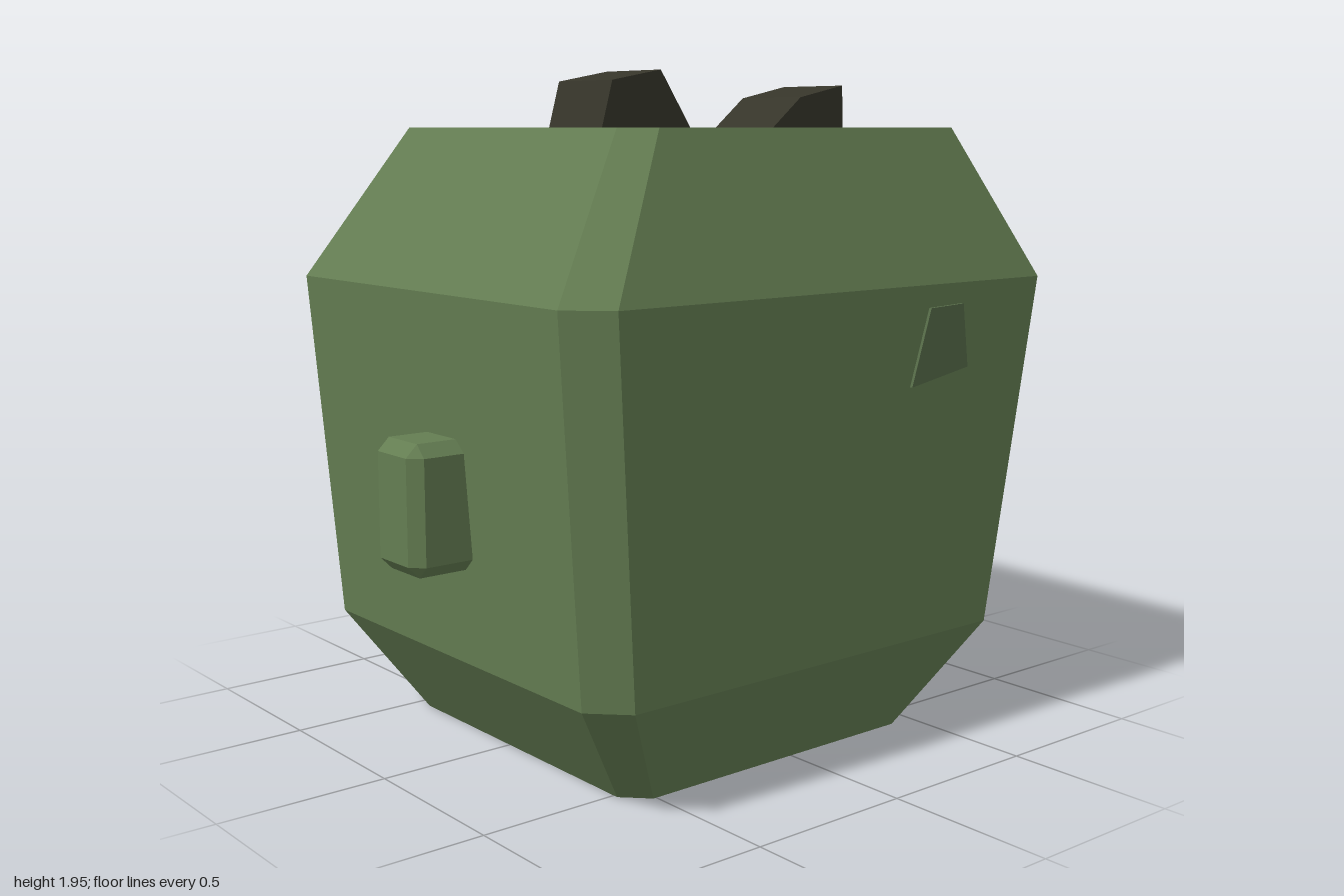
import * as THREE from 'three';
import { ConvexGeometry } from 'three/addons/geometries/ConvexGeometry.js';

const material = (color) => new THREE.MeshStandardMaterial({ color, flatShading: true });
const skin = material(0x647d52);
const patchSkin = material(0x576c49);
const hairDark = material(0x36352a);
const faceDark = material(0x1f2822);

// Rectangle with cut corners, counterclockwise from above
function ring({ y, x0, x1, z0, z1, c }) {
  return [
    [x1, z0 + c], [x1 - c, z0], [x0 + c, z0], [x0, z0 + c],
    [x0, z1 - c], [x0 + c, z1], [x1 - c, z1], [x1, z1 - c],
  ].map(([x, z]) => new THREE.Vector3(x, y, z));
}

// Closed solid through a stack of rings, lowest first
function loft(rings) {
  const points = [];
  const n = rings[0].length;
  for (let r = 0; r < rings.length - 1; r++) {
    for (let i = 0; i < n; i++) {
      const j = (i + 1) % n;
      const a = rings[r][i], b = rings[r][j], c = rings[r + 1][j], d = rings[r + 1][i];
      points.push(a, b, c, a, c, d);
    }
  }
  const bottom = rings[0], top = rings[rings.length - 1];
  for (let i = 1; i < n - 1; i++) {
    points.push(bottom[0], bottom[i + 1], bottom[i]);
    points.push(top[0], top[i], top[i + 1]);
  }
  const geometry = new THREE.BufferGeometry().setFromPoints(points);
  geometry.computeVertexNormals();
  return geometry;
}

// Box with every edge and corner cut flat
function chamferBox(w, h, d, c) {
  const points = [];
  for (const sx of [-1, 1]) for (const sy of [-1, 1]) for (const sz of [-1, 1]) {
    for (let axis = 0; axis < 3; axis++) {
      const cut = [c, c, c];
      cut[axis] = 0;
      points.push(new THREE.Vector3(
        sx * (w / 2 - cut[0]), sy * (h / 2 - cut[1]), sz * (d / 2 - cut[2])));
    }
  }
  return new ConvexGeometry(points);
}

// Flat outline in x and y, extruded between two z values
function slab(outline, z0, z1) {
  const shape = new THREE.Shape(outline.map(([x, y]) => new THREE.Vector2(x, y)));
  const geometry = new THREE.ExtrudeGeometry(shape, { depth: z1 - z0, bevelEnabled: false });
  return geometry.translate(0, 0, z0);
}

export function createModel() {
  const group = new THREE.Group();
  const add = (name, geometry, mat, x = 0, y = 0, z = 0) => {
    const mesh = new THREE.Mesh(geometry, mat);
    mesh.name = name;
    mesh.position.set(x, y, z);
    group.add(mesh);
    return mesh;
  };

  // Head block, slightly lopsided
  add('head', loft([
    { y: 0, x0: -0.58, x1: 0.49, z0: -0.515, z1: 0.585, c: 0.07 },
    { y: 0.32, x0: -0.795, x1: 0.74, z0: -0.675, z1: 0.745, c: 0.097 },
    { y: 1.355, x0: -0.875, x1: 0.91, z0: -0.71, z1: 0.775, c: 0.105 },
    { y: 1.79, x0: -0.59, x1: 0.665, z0: -0.55, z1: 0.615, c: 0.077 },
  ].map(ring)), skin);

  // Ears
  for (const [name, side] of [['leftEar', 1], ['rightEar', -1]]) {
    add(name, chamferBox(0.215, 0.365, 0.215, 0.035), skin, side * 0.8925, 0.782, 0.083);
  }

  // Face on the -z side: nose, closed eyes, mouth
  add('nose', chamferBox(0.155, 0.175, 0.16, 0.022), skin, -0.042, 0.724, -0.703);
  add('leftEye', new THREE.BoxGeometry(0.35, 0.045, 0.03), faceDark, 0.335, 1.02, -0.699);
  add('rightEye', new THREE.BoxGeometry(0.35, 0.045, 0.03), faceDark, -0.425, 1.02, -0.699);
  add('mouth', new THREE.BoxGeometry(0.26, 0.035, 0.03), faceDark, -0.05, 0.432, -0.677);

  // Skin patches, tilted with the walls they sit on
  const rearPatch = add('rearPatch',
    slab([[-0.07, 0.07], [-0.12, -0.08], [0.05, -0.1], [0.115, 0.08]], -0.008, 0.008),
    patchSkin, -0.59, 0.525, -0.683);
  rearPatch.rotation.x = 0.034;
  const frontPatch = add('frontPatch',
    slab([[-0.115, -0.11], [0.115, -0.07], [0.085, 0.115], [-0.05, 0.11]], -0.01, 0.008),
    patchSkin, 0.385, 1.18, 0.7705);
  frontPatch.rotation.x = 0.029;

  // Hair tufts on the crown
  add('rightTuft', slab(
    [[-0.505, 1.78], [-0.2, 1.78], [-0.2, 1.79], [-0.305, 1.945], [-0.47, 1.915], [-0.505, 1.79]],
    0.125, 0.365), hairDark);
  add('leftTuft', slab(
    [[0.035, 1.78], [0.31, 1.78], [0.305, 1.91], [0.14, 1.875], [0.035, 1.79]],
    0.2, 0.445), hairDark);

  return group;
}
